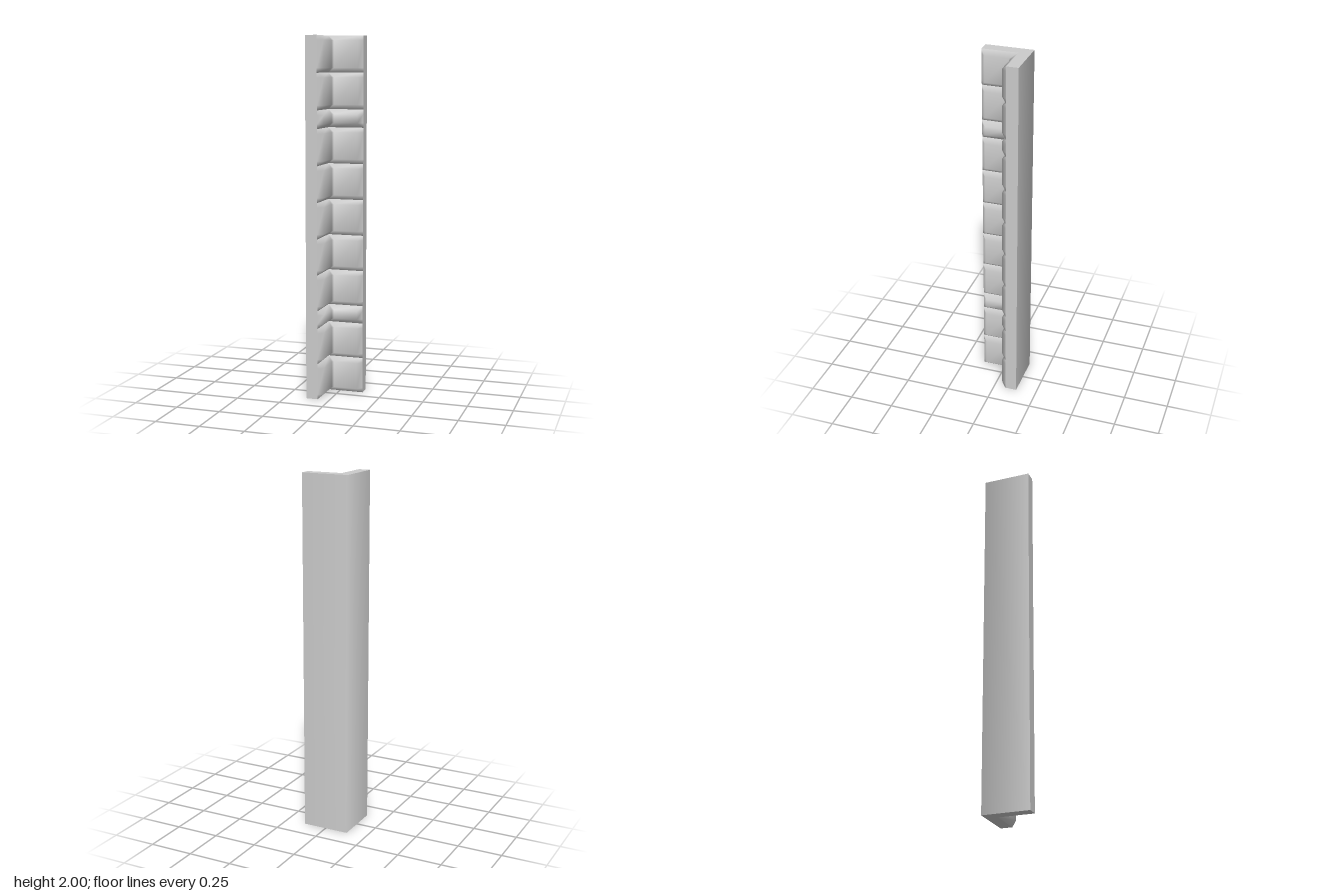
import * as THREE from 'three';
import { mergeVertices } from 'three/addons/utils/BufferGeometryUtils.js';

const H = 0.1333;     // half width of the angle
const IN = -0.0675;   // inner faces of the two arms
const TOP = -0.037;   // raised face of the pads
const BEVEL = 0.026;
const material = new THREE.MeshStandardMaterial({ color: 0xcccccc, side: THREE.DoubleSide });

// L-shaped backing, sharp everywhere except a smooth-shaded back corner
function makeBacking() {
  const corners = [[-H, -H], [IN, -H], [IN, -IN], [H, -IN], [H, H], [-H, H]];
  const shape = new THREE.Shape(corners.map(([x, y]) => new THREE.Vector2(x, y)));
  const geo = new THREE.ExtrudeGeometry(shape, { depth: 2, bevelEnabled: false });
  geo.rotateX(-Math.PI / 2);
  const p = geo.attributes.position, n = geo.attributes.normal;
  for (let i = 0; i < p.count; i++) {
    const backCorner = p.getX(i) < -H + 1e-4 && p.getZ(i) < -H + 1e-4;
    if (backCorner && Math.abs(n.getY(i)) < 0.5) n.setXYZ(i, -Math.SQRT1_2, 0, -Math.SQRT1_2);
  }
  return geo;
}

// Raised pad wrapping the inner corner, bevelled on all edges with soft normals
function makePad(height) {
  const end = H - BEVEL, c = TOP + 0.01;
  const base = [[H, IN], [H, IN], [IN, IN], [IN, IN], [IN, H], [IN, H]];
  const raised = [[H, IN], [end, TOP], [c, TOP], [TOP, c], [TOP, end], [IN, H]];
  const rows = [[0, base], [BEVEL, raised], [height - BEVEL, raised], [height, base]];
  const pos = [], index = [];
  for (const [y, ring] of rows) for (const [x, z] of ring) pos.push(x, y, z);
  for (let r = 0; r < 3; r++) {
    for (let k = 0; k < 5; k++) {
      const a = r * 6 + k, b = a + 6;
      index.push(a, b, a + 1, b, b + 1, a + 1);
    }
  }
  const geo = new THREE.BufferGeometry();
  geo.setAttribute('position', new THREE.Float32BufferAttribute(pos, 3));
  geo.setIndex(index);
  const merged = mergeVertices(geo, 1e-5);
  merged.computeVertexNormals();
  return merged;
}

export function createModel() {
  const group = new THREE.Group();
  group.name = 'cornerTrim';

  const backing = new THREE.Mesh(makeBacking(), material);
  backing.name = 'backing';
  group.add(backing);

  // Stack of pads, with two half-height bands
  const tall = makePad(0.2), short = makePad(0.1);
  let y = 0;
  for (let i = 0; i < 11; i++) {
    const isBand = i === 2 || i === 8;
    const pad = new THREE.Mesh(isBand ? short : tall, material);
    pad.name = isBand ? 'narrowPad' : 'pad';
    pad.position.y = y;
    group.add(pad);
    y += isBand ? 0.1 : 0.2;
  }
  return group;
}
